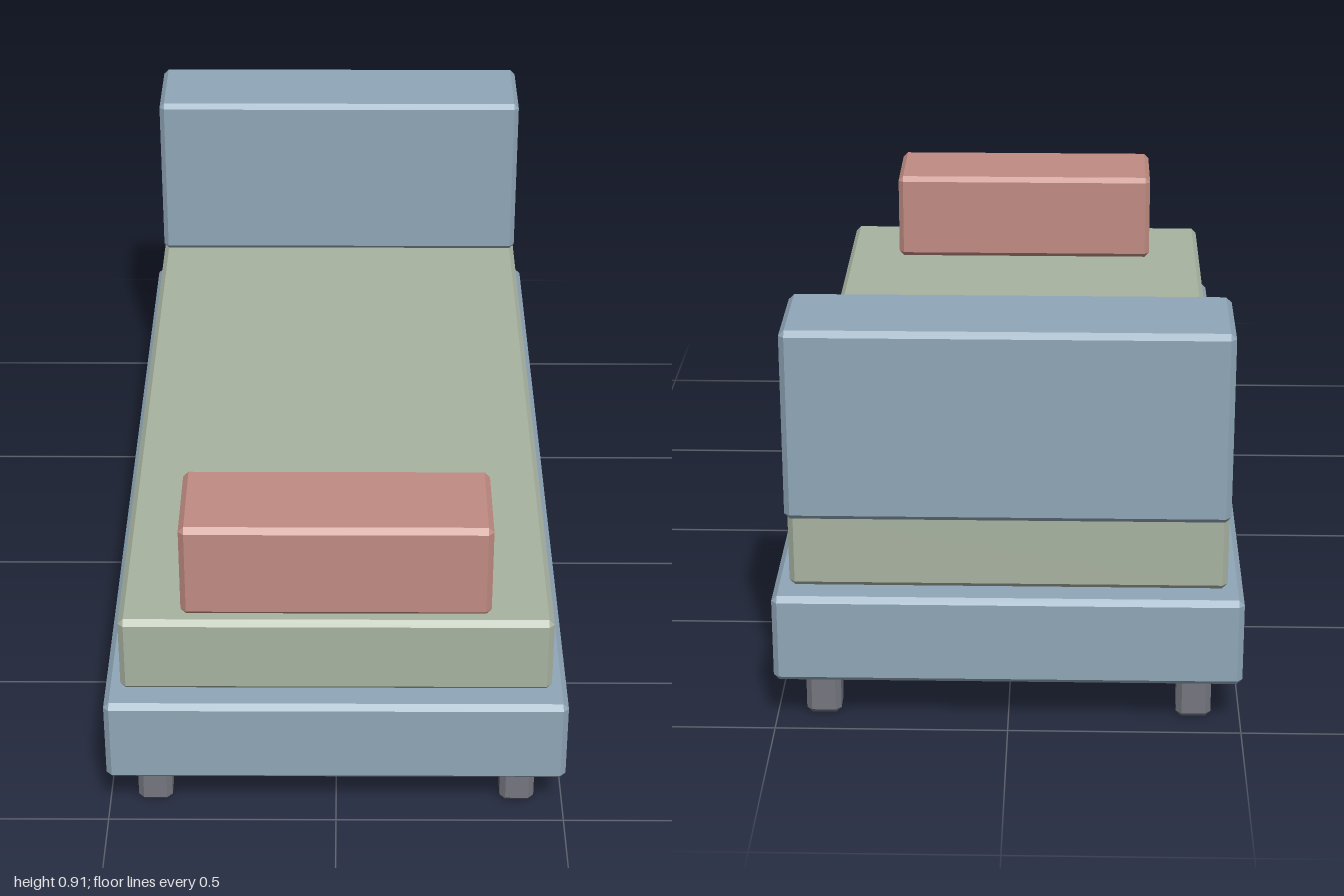
import * as THREE from 'three';
import { ConvexGeometry } from 'three/addons/geometries/ConvexGeometry.js';

const BEVEL = 0.012;

const material = (color) => new THREE.MeshStandardMaterial({ color, flatShading: true });

// Box with every edge cut at 45 degrees: each corner becomes three points
function chamferedBox(w, h, d, b = BEVEL) {
  const [x, y, z] = [w / 2, h / 2, d / 2];
  const points = [];
  for (const sx of [-1, 1]) for (const sy of [-1, 1]) for (const sz of [-1, 1]) {
    points.push(
      new THREE.Vector3(sx * x, sy * (y - b), sz * (z - b)),
      new THREE.Vector3(sx * (x - b), sy * y, sz * (z - b)),
      new THREE.Vector3(sx * (x - b), sy * (y - b), sz * z)
    );
  }
  return new ConvexGeometry(points);
}

export function createModel() {
  const group = new THREE.Group();
  const blue = material(0x8fa6b7);
  const green = material(0xa8b3a1);
  const red = material(0xc08c83);
  const grey = material(0x74767f);

  // Adds a block from its size, bottom height and centre on the floor plan
  function addBlock(name, mat, [w, h, d], bottom, z, x = 0) {
    const mesh = new THREE.Mesh(chamferedBox(w, h, d), mat);
    mesh.name = name;
    mesh.position.set(x, bottom + h / 2, z);
    group.add(mesh);
  }

  // Frame, mattress and cushions
  addBlock('base', blue, [1, 0.198, 2], 0.112, 0);
  addBlock('mattress', green, [0.932, 0.18, 1.886], 0.31, 0);
  addBlock('backrest', blue, [0.932, 0.42, 0.24], 0.49, -0.88);
  addBlock('bolster', red, [0.664, 0.22, 0.24], 0.49, 0.8);

  // Four corner legs and one support near the middle
  const legSize = [0.075, 0.112, 0.075];
  for (const x of [-0.4, 0.4]) for (const z of [-0.9, 0.9]) {
    addBlock('cornerLeg', grey, legSize, 0, z, x);
  }
  addBlock('middleLeg', grey, legSize, 0, 0.1);

  return group;
}
